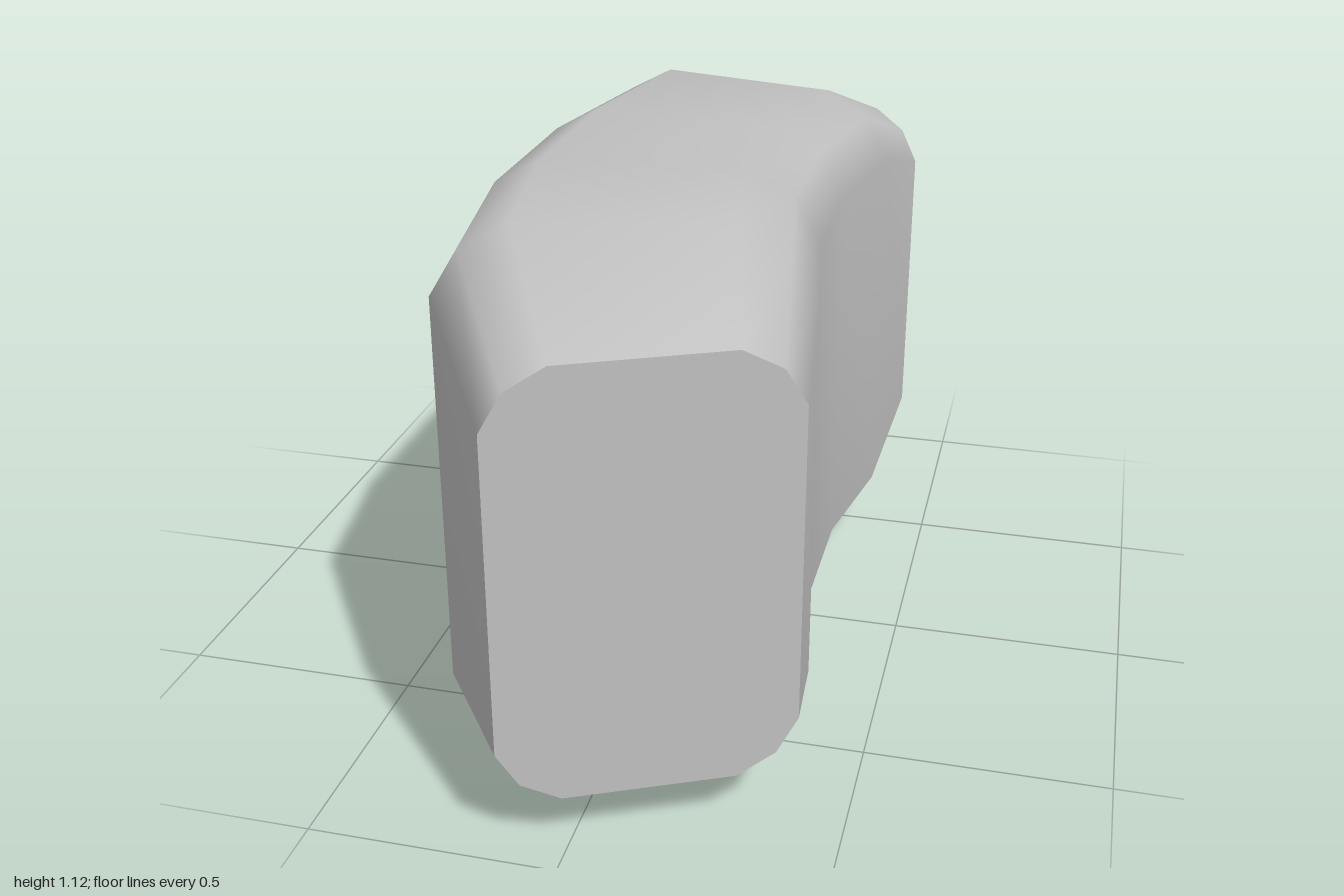
import * as THREE from 'three';

// Stations along the bend: outer x, z; inner x, z; bottom and top y
const half = [
  [-0.11, 1.0, 0.405, 0.75, 0.125, 1.0],
  [-0.335, 0.635, 0.372, 0.45, 0, 1.12],
  [-0.408, 0.215, 0.32, 0.155, 0, 1.12],
];
const mirrored = half.map(([ox, oz, ix, iz, b, t]) => [ox, -oz, ix, -iz, b, t]);
const stations = [...mirrored, ...[...half].reverse()];

// Rounded-rectangle section as fractions: u from outer to inner, v from bottom to top
const corner = [[0, 0.13], [0.075, 0.048], [0.21, 0]];
const reversed = [...corner].reverse();
const section = [
  ...reversed.map(([u, v]) => [u, v]),
  ...corner.map(([u, v]) => [u, 1 - v]),
  ...reversed.map(([u, v]) => [1 - u, 1 - v]),
  ...corner.map(([u, v]) => [1 - u, v]),
];
const N = section.length;

function ring([ox, oz, ix, iz, b, t]) {
  return section.flatMap(([u, v]) => [ox + (ix - ox) * u, b + (t - b) * v, oz + (iz - oz) * u]);
}

function makeGeometry(positions, index) {
  const g = new THREE.BufferGeometry();
  g.setAttribute('position', new THREE.Float32BufferAttribute(positions, 3));
  g.setIndex(index);
  g.computeVertexNormals();
  return g;
}

// Smooth skin through all stations
function bodyGeometry() {
  const index = [];
  for (let s = 0; s < stations.length - 1; s++) {
    for (let i = 0; i < N; i++) {
      const a = s * N + i, b = s * N + (i + 1) % N;
      index.push(a, a + N, b, b, a + N, b + N);
    }
  }
  return makeGeometry(stations.flatMap(ring), index);
}

// Flat end face
function capGeometry(station, front) {
  const index = [];
  for (let i = 1; i < N - 1; i++) index.push(0, ...(front ? [i + 1, i] : [i, i + 1]));
  return makeGeometry(ring(station), index);
}

export function createModel() {
  const group = new THREE.Group();
  group.name = 'curvedBlock';
  const grey = new THREE.MeshStandardMaterial({ color: 0xc0c0c0 });
  grey.name = 'light grey';

  const add = (name, geometry) => {
    const mesh = new THREE.Mesh(geometry, grey);
    mesh.name = name;
    group.add(mesh);
  };
  add('curvedBody', bodyGeometry());
  add('frontEnd', capGeometry(stations[stations.length - 1], true));
  add('backEnd', capGeometry(stations[0], false));
  return group;
}
